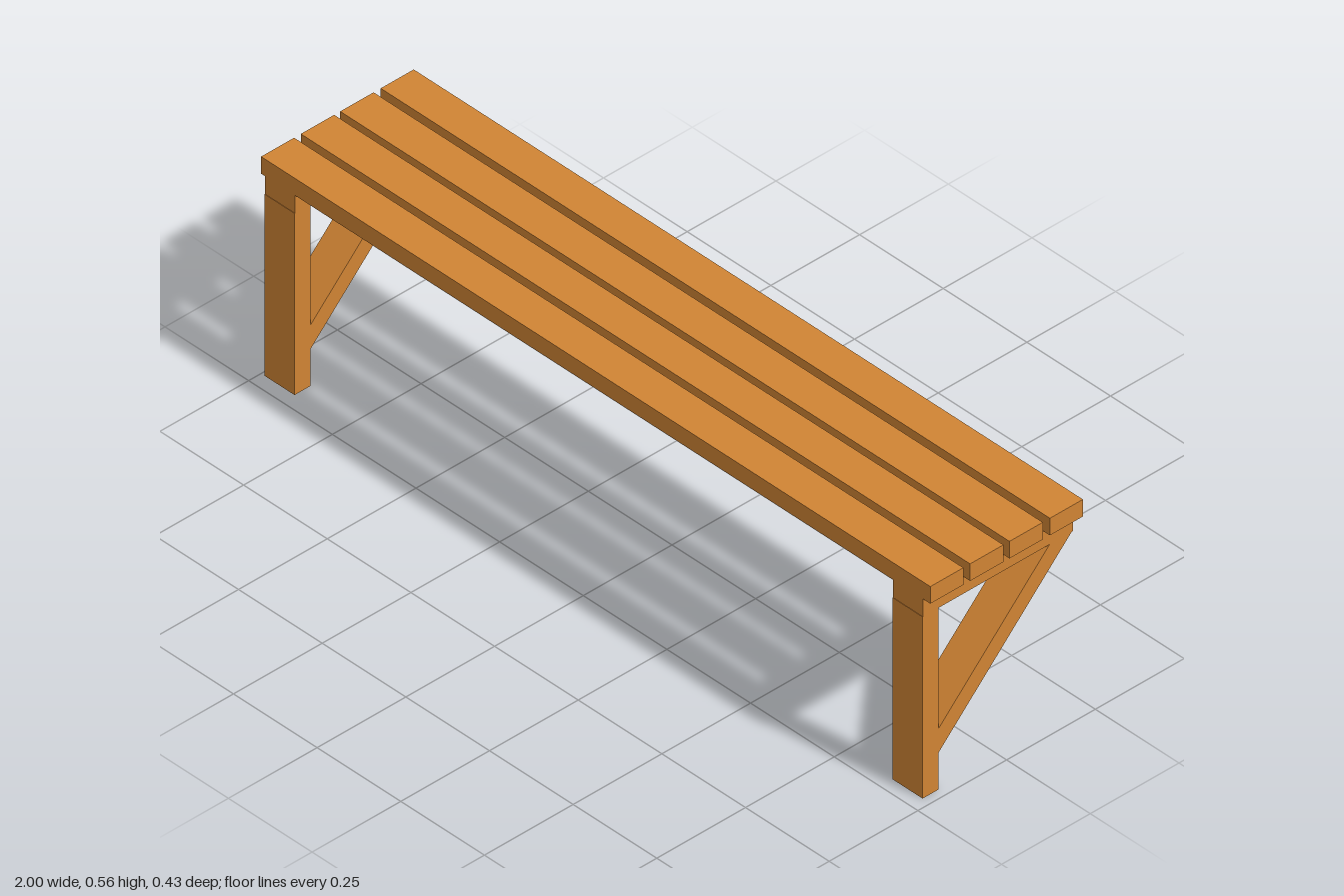
import * as THREE from 'three';

const wood = new THREE.MeshStandardMaterial({ color: 0xd08434 });

// Box given by its min/max extents on each axis
function board(name, [x0, x1], [y0, y1], [z0, z1]) {
  const mesh = new THREE.Mesh(new THREE.BoxGeometry(x1 - x0, y1 - y0, z1 - z0), wood);
  mesh.position.set((x0 + x1) / 2, (y0 + y1) / 2, (z0 + z1) / 2);
  mesh.name = name;
  return mesh;
}

// Diagonal strut: a (z, y) outline extruded along x, mitred at both ends
function brace([x0, x1]) {
  const outline = [[0.17, 0.095], [-0.205, 0.468], [-0.143, 0.468], [0.17, 0.157]];
  const shape = new THREE.Shape(outline.map(([z, y]) => new THREE.Vector2(-z, y)));
  const geometry = new THREE.ExtrudeGeometry(shape, { depth: x1 - x0, bevelEnabled: false });
  geometry.rotateY(Math.PI / 2);
  const mesh = new THREE.Mesh(geometry, wood);
  mesh.position.x = x0;
  mesh.name = 'brace';
  return mesh;
}

export function createModel() {
  const bench = new THREE.Group();
  bench.name = 'bench';

  // Four seat slats, front to back
  const slats = [[0.122, 0.215], [0.009, 0.103], [-0.102, -0.008], [-0.215, -0.122]];
  for (const z of slats) bench.add(board('seatSlat', [-1, 1], [0.515, 0.559], z));

  // Two supports: front leg, cross rail and diagonal brace
  for (const [name, x] of [['rightSupport', [-0.99, -0.9]], ['leftSupport', [0.887, 0.977]]]) {
    const support = new THREE.Group();
    support.name = name;
    support.add(
      board('frontLeg', x, [0, 0.468], [0.17, 0.215]),
      board('crossRail', x, [0.468, 0.515], [-0.209, 0.214]),
      brace(x),
    );
    bench.add(support);
  }
  return bench;
}
